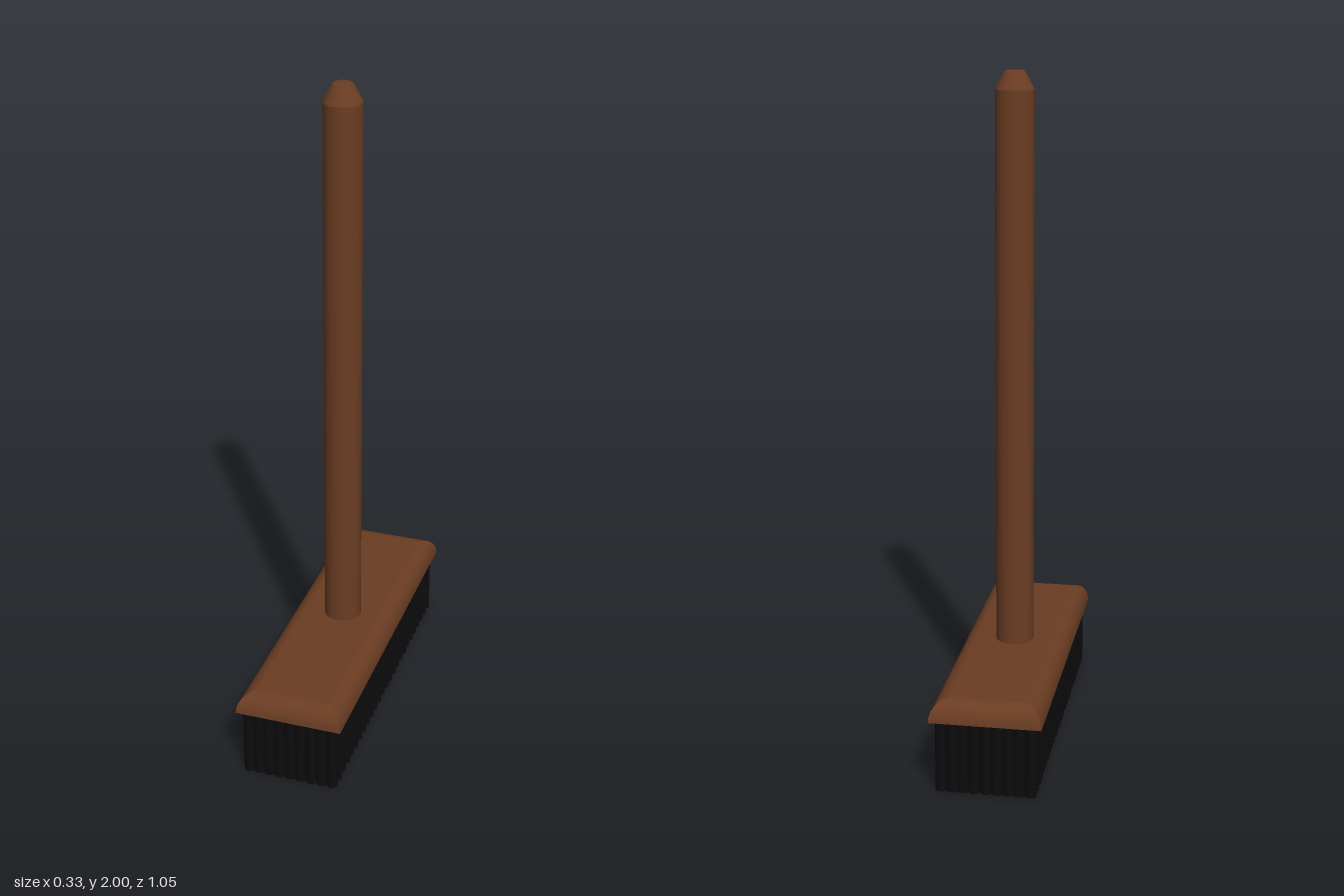
import * as THREE from 'three';

const wood = new THREE.MeshStandardMaterial({ color: 0x6b3d23 });
wood.name = 'brown wood';
const black = new THREE.MeshStandardMaterial({ color: 0x0c0c0c });
black.name = 'black bristle';

const HALF_X = 0.163, HALF_Z = 0.525; // head half sizes
const HEAD_BOTTOM = 0.213, HEAD_TOP = 0.275, BEVEL = 0.05;

function addMesh(parent, name, geometry, material) {
  const mesh = new THREE.Mesh(geometry, material);
  mesh.name = name;
  parent.add(mesh);
  return mesh;
}

// Mitred quarter-round strip along one side; the side faces +z before turning
function bevelStrip(halfLength, distance) {
  const steps = 6, positions = [], index = [];
  for (let i = 0; i <= steps; i++) {
    const a = (i / steps) * Math.PI / 2;
    const inset = BEVEL * (1 - Math.cos(a));
    const y = HEAD_BOTTOM + (HEAD_TOP - HEAD_BOTTOM) * Math.sin(a);
    positions.push(-(halfLength - inset), y, distance - inset, halfLength - inset, y, distance - inset);
    if (i < steps) {
      const k = i * 2;
      index.push(k, k + 1, k + 3, k, k + 3, k + 2);
    }
  }
  const g = new THREE.BufferGeometry();
  g.setAttribute('position', new THREE.Float32BufferAttribute(positions, 3));
  g.setIndex(index);
  g.computeVertexNormals();
  return g;
}

function createHead() {
  const head = new THREE.Group();
  head.name = 'head';
  for (let i = 0; i < 4; i++) {
    const end = i % 2 === 0;
    const g = end ? bevelStrip(HALF_X, HALF_Z) : bevelStrip(HALF_Z, HALF_X);
    addMesh(head, 'headEdge', g, wood).rotation.y = i * Math.PI / 2;
  }
  const top = new THREE.PlaneGeometry(2 * (HALF_X - BEVEL), 2 * (HALF_Z - BEVEL));
  addMesh(head, 'headTop', top.rotateX(-Math.PI / 2).translate(0, HEAD_TOP, 0), wood);
  const bottom = new THREE.PlaneGeometry(2 * HALF_X, 2 * HALF_Z);
  addMesh(head, 'headBottom', bottom.rotateX(Math.PI / 2).translate(0, HEAD_BOTTOM, 0), wood);
  return head;
}

function createHandle() {
  const handle = new THREE.Group();
  handle.name = 'handle';
  const radius = 0.057, shoulder = 1.947;
  const shaft = new THREE.CylinderGeometry(radius, radius, shoulder - 0.25, 32, 1, true);
  addMesh(handle, 'shaft', shaft.translate(0, (shoulder + 0.25) / 2, 0), wood);
  // Tapered tip with a softly shaded blunt end
  const profile = [[radius, shoulder], [0.032, 1.994], [0.026, 2], [0, 2]];
  const tip = new THREE.LatheGeometry(profile.map(([x, y]) => new THREE.Vector2(x, y)), 32);
  addMesh(handle, 'handleTip', tip, wood);
  return handle;
}

function createBristles() {
  const bristles = new THREE.Group();
  bristles.name = 'bristles';
  const rows = 26, columns = 9, radius = 0.0165;
  const spanX = 0.147 - radius, spanZ = 0.519 - radius;
  const tuft = new THREE.CylinderGeometry(radius, radius, HEAD_BOTTOM, 12);
  tuft.translate(0, HEAD_BOTTOM / 2, 0);
  for (let r = 0; r < rows; r++) {
    for (let c = 0; c < columns; c++) {
      const mesh = addMesh(bristles, 'bristleTuft', tuft, black);
      mesh.position.x = spanX * (2 * c / (columns - 1) - 1);
      mesh.position.z = spanZ * (2 * r / (rows - 1) - 1);
    }
  }
  return bristles;
}

export function createModel() {
  const model = new THREE.Group();
  model.name = 'broom';
  model.add(createHead(), createHandle(), createBristles());
  return model;
}
